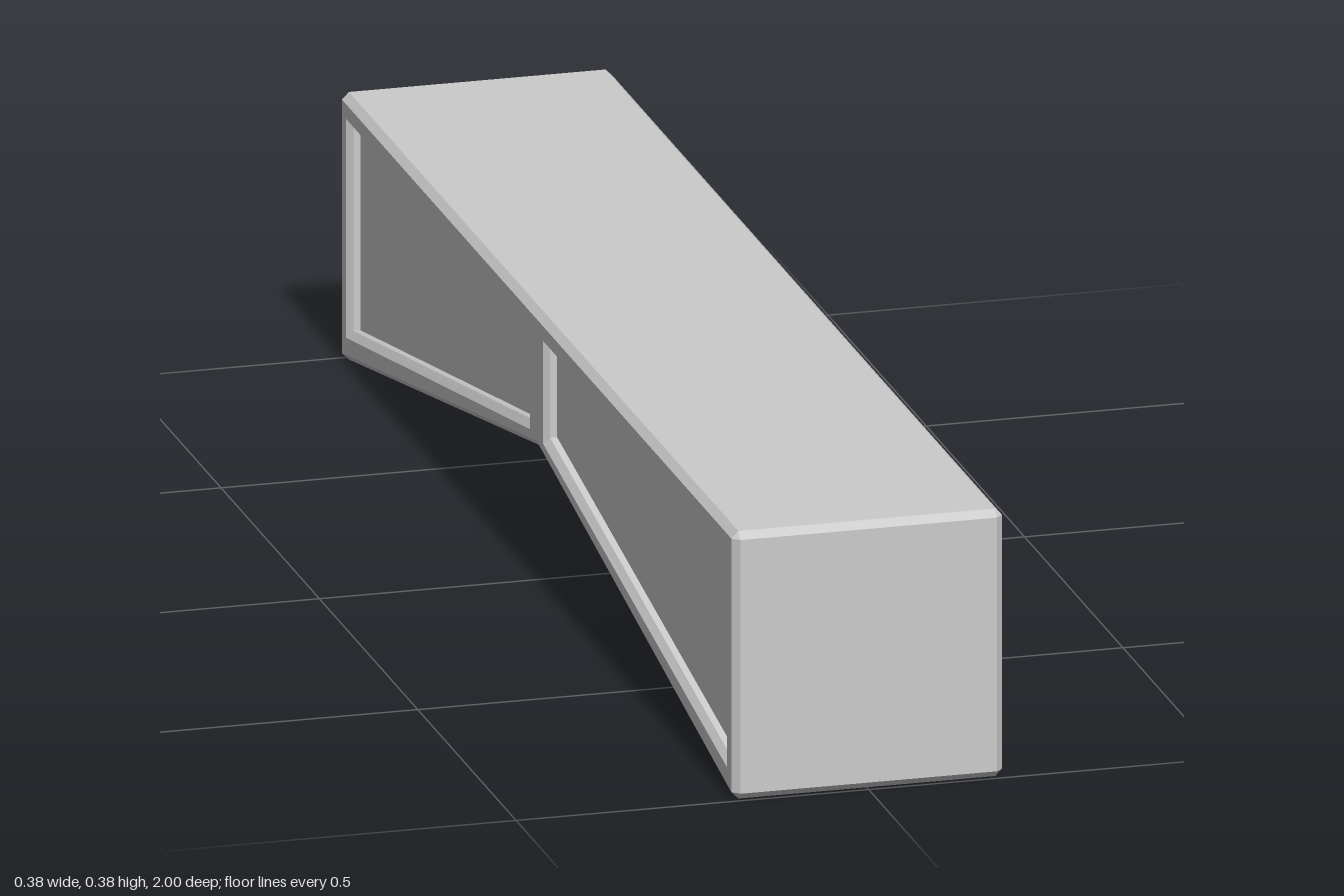
import * as THREE from 'three';

const W = 0.192;      // half width
const B = 0.01;       // chamfer of the outer edges
const DEPTH = 0.018;  // depth of the side recesses

// Profiles lie in the side plane (u along the length, v up), counter-clockwise.
const mirror = (pts) => pts.map(([u, v]) => [-u, v]).reverse();
const centred = (right) => [...right, ...mirror(right.slice(1)), ];

const outer = centred([[0, 0.19], [1 - B, 0], [1, B], [1, 0.385 - B], [1 - B, 0.385]]);
const inset = centred([[0, 0.2], [1 - B, B], [1 - B, B], [1 - B, 0.375], [1 - B, 0.375]]);
const recessRim = [[0.033, 0.206], [0.968, 0.039], [0.968, 0.354], [0.033, 0.354]];
const recessFloor = [[0.04, 0.216], [0.96, 0.051], [0.96, 0.346], [0.04, 0.346]];

const toPoints = (pts) => pts.map(([u, v]) => new THREE.Vector2(u, v));

// Band of flat quads joining two profiles at offsets wa and wb
function band(a, wa, b, wb) {
  const pos = [];
  a.forEach((p, i) => {
    const j = (i + 1) % a.length;
    const c = [[...p, wa], [...a[j], wa], [...b[j], wb], [...b[i], wb]];
    for (const k of [0, 1, 2, 0, 2, 3]) pos.push(...c[k]);
  });
  const g = new THREE.BufferGeometry();
  g.setAttribute('position', new THREE.Float32BufferAttribute(pos, 3));
  g.computeVertexNormals();
  return g;
}

// Flat face at offset w
function face(pts, w, holes = []) {
  const s = new THREE.Shape(toPoints(pts));
  holes.forEach((h) => s.holes.push(new THREE.Path(toPoints(h))));
  return new THREE.ShapeGeometry(s).translate(0, 0, w);
}

export function createModel() {
  const model = new THREE.Group();
  model.name = 'archedBeam';
  const mat = new THREE.MeshStandardMaterial({ color: 0xcccccc, flatShading: true });
  const add = (parent, name, geo) => {
    const m = new THREE.Mesh(geo, mat);
    m.name = name;
    parent.add(m);
  };

  // Top, ends and sloping underside
  const shell = new THREE.Group();
  shell.name = 'shell';
  shell.rotation.y = Math.PI / 2;
  add(shell, 'outerShell', band(outer, -W + B, outer, W - B));
  model.add(shell);

  // Two identical framed sides
  for (const s of [1, -1]) {
    const side = new THREE.Group();
    side.name = s > 0 ? 'leftSide' : 'rightSide';
    side.rotation.y = s * Math.PI / 2;
    const outline = inset.filter((p, i) => i === 0 || p.join() !== inset[i - 1].join());
    add(side, 'edgeChamfer', band(outer, W - B, inset, W));
    add(side, 'frameFace', face(outline, W, [recessRim, mirror(recessRim)]));
    // Recessed panels, one each side of the middle post
    for (const flip of [(p) => p, mirror]) {
      const rim = flip(recessRim), floor = flip(recessFloor);
      add(side, 'recessChamfer', band(rim, W, floor, W - 0.008));
      add(side, 'recessWall', band(floor, W - 0.008, floor, W - DEPTH));
      add(side, 'recessPanel', face(floor, W - DEPTH));
    }
    model.add(side);
  }
  return model;
}
